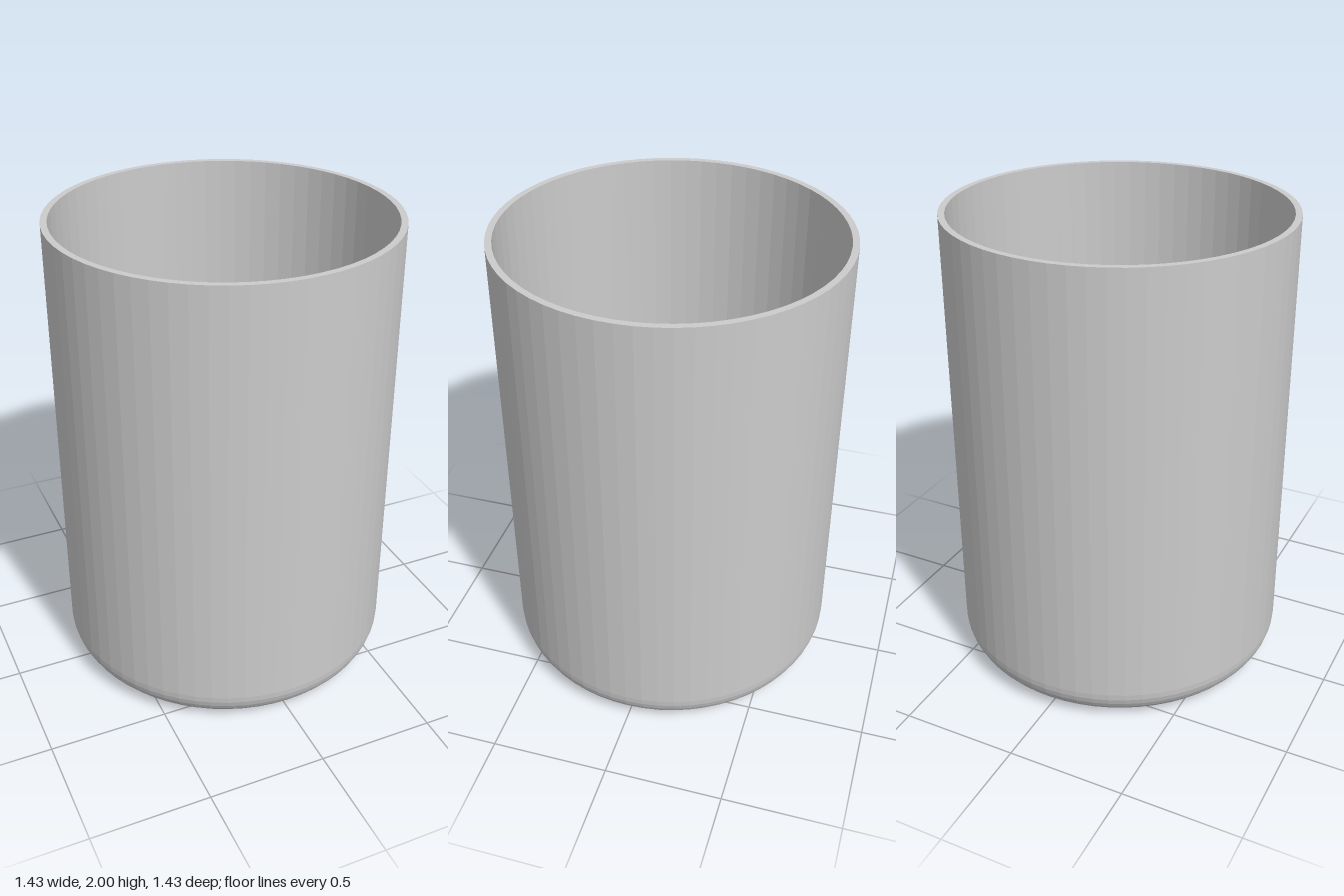
import * as THREE from 'three';

const OUTER = 0.713, WALL = 0.027, HEIGHT = 2, FILLET = 0.14;
const SIDES = 64, STEPS = 8;

// Rounded bottom corner, from the flat floor out to the upright wall
function corner(radius) {
  return Array.from({ length: STEPS + 1 }, (_, i) => {
    const a = (i / STEPS) * Math.PI / 2;
    return new THREE.Vector2(
      OUTER - FILLET + radius * Math.sin(a),
      FILLET - radius * Math.cos(a)
    );
  });
}

export function createModel() {
  const group = new THREE.Group();
  group.name = 'openCup';

  // Closed wall section: underside, outer wall, flat rim, inner wall, floor
  const profile = [
    new THREE.Vector2(0, 0),
    ...corner(FILLET),
    new THREE.Vector2(OUTER, HEIGHT),
    new THREE.Vector2(OUTER - WALL, HEIGHT),
    ...corner(FILLET - WALL).reverse(),
    new THREE.Vector2(0, WALL),
  ];

  const cup = new THREE.Mesh(
    new THREE.LatheGeometry(profile, SIDES),
    new THREE.MeshStandardMaterial({ color: 0xcccccc, flatShading: true })
  );
  cup.name = 'cupBody';
  group.add(cup);
  return group;
}
